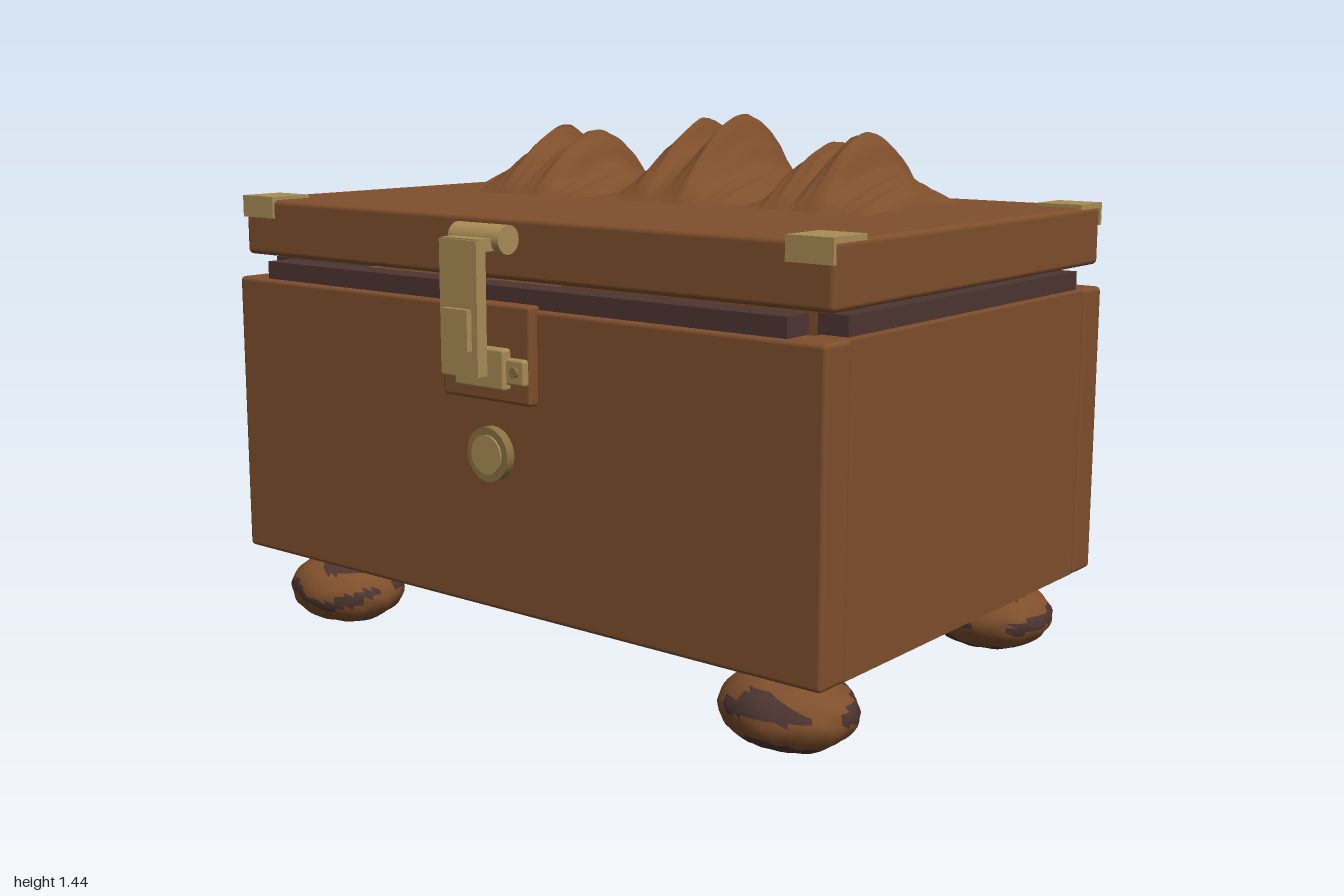
import * as THREE from 'three';
import { RoundedBoxGeometry } from 'three/addons/geometries/RoundedBoxGeometry.js';

const material = (name, color) => {
  const m = new THREE.MeshStandardMaterial({ color });
  m.name = name;
  return m;
};

// Piecewise linear lookup through [position, value] points
function sample(points, t) {
  for (let i = 1; i < points.length; i++) {
    const [a, va] = points[i - 1], [b, vb] = points[i];
    if (t <= b) return va + (vb - va) * (t - a) / (b - a);
  }
  return points[points.length - 1][1];
}

// Side arch shared by the carved mounds, from front (0) to back (1)
const ARCH = [[0, 0], [0.07, 0.21], [0.18, 0.45], [0.3, 0.7], [0.37, 0.81], [0.44, 0.9], [0.52, 0.98],
  [0.585, 1], [0.65, 0.98], [0.73, 0.9], [0.8, 0.79], [0.86, 0.66], [0.94, 0.37], [1, 0]];

// Carved mound: a ridge profile across x swept along the arch in z
function moundGeometry(x0, x1, zBack, zFront, y, profile) {
  const geo = new THREE.PlaneGeometry(1, 1, 48, 36);
  const pos = geo.attributes.position;
  for (let i = 0; i < pos.count; i++) {
    const u = pos.getX(i) + 0.5, t = pos.getY(i) + 0.5;
    const edge = Math.min(1, u * 12, (1 - u) * 12);
    const bend = 0.025 * Math.sin(t * 5 + u * 9) * edge * Math.sin(Math.PI * t);
    const groove = 0.006 * Math.sin(u * 70 + 2 * Math.sin(t * 4)) * edge;
    const h = (sample(profile, u + bend) + groove) * sample(ARCH, t);
    pos.setXYZ(i, x0 + u * (x1 - x0), y + Math.max(0, h), zFront + t * (zBack - zFront));
  }
  geo.computeVertexNormals();
  return geo;
}

// Lumpy flattened ball with patches of two colours
function footGeometry(seed) {
  const geo = new THREE.SphereGeometry(1, 36, 24);
  const pos = geo.attributes.position;
  const v = new THREE.Vector3();
  const patch = (p) => Math.sin(p.x * 3.1 + seed) * Math.cos(p.z * 2.7 - seed) +
    Math.sin(p.y * 6 + 1.6 * Math.sin(p.x * 2.5 + seed) + p.z) +
    0.35 * Math.sin(p.x * 9 + p.y * 7 + seed) * Math.cos(p.z * 8);
  const index = Array.from(geo.index.array);
  const light = [], dark = [];
  for (let i = 0; i < index.length; i += 3) {
    const c = new THREE.Vector3();
    for (let k = 0; k < 3; k++) c.add(v.fromBufferAttribute(pos, index[i + k]));
    (patch(c.divideScalar(3)) > 0.5 ? dark : light).push(index[i], index[i + 1], index[i + 2]);
  }
  for (let i = 0; i < pos.count; i++) {
    v.fromBufferAttribute(pos, i);
    const bump = 0.96 + 0.025 * Math.sin(v.x * 6 + seed) * Math.cos(v.z * 5 + seed) +
      0.02 * Math.sin(v.x * 11 - v.y * 9 + seed) * Math.cos(v.z * 12);
    v.multiplyScalar(bump);
    pos.setXYZ(i, v.x * 0.182, v.y * 0.1, v.z * 0.152);
  }
  geo.setIndex([...light, ...dark]);
  geo.clearGroups();
  geo.addGroup(0, light.length, 0);
  geo.addGroup(light.length, dark.length, 1);
  geo.computeVertexNormals();
  return geo;
}

export function createModel() {
  const model = new THREE.Group();
  model.name = 'chest';
  const wood = material('brown wood', 0x7f4f2c);
  const dark = material('dark wood', 0x4d3531);
  const brass = material('brass', 0xa98d56);
  const agedBrass = material('aged brass', 0x8a7142);

  const add = (name, geo, mat, x = 0, y = 0, z = 0) => {
    const mesh = new THREE.Mesh(geo, mat);
    mesh.name = name;
    mesh.position.set(x, y, z);
    model.add(mesh);
    return mesh;
  };
  // Box from its limits on each axis, with an optional rounded edge
  const box = (name, mat, [x0, x1], [y0, y1], [z0, z1], r = 0) => {
    const size = [x1 - x0, y1 - y0, z1 - z0];
    const geo = r ? new RoundedBoxGeometry(...size, 2, r) : new THREE.BoxGeometry(...size);
    return add(name, geo, mat, (x0 + x1) / 2, (y0 + y1) / 2, (z0 + z1) / 2);
  };
  // Cylinder lying along the x or z axis
  const rod = (name, mat, axis, r, length, x, y, z) => {
    const geo = new THREE.CylinderGeometry(r, r, length, 28);
    if (axis === 'x') geo.rotateZ(Math.PI / 2);
    else geo.rotateX(Math.PI / 2);
    return add(name, geo, mat, x, y, z);
  };

  // Body panels and base
  box('frontPanel', wood, [-0.967, 0.995], [0.222, 0.995], [0.532, 0.634], 0.012);
  box('backPanel', wood, [-0.967, 0.995], [0.222, 0.995], [-0.675, -0.577], 0.012);
  box('rightPanel', wood, [-0.96, -0.86], [0.222, 0.99], [-0.58, 0.535]);
  box('leftPanel', wood, [0.888, 0.988], [0.222, 0.99], [-0.58, 0.535]);
  box('base', wood, [-0.885, 0.912], [0.188, 0.235], [-0.577, 0.532], 0.008);

  // Dark rim strips under the lid
  box('frontRim', dark, [-0.855, 0.885], [0.995, 1.043], [0.54, 0.622]);
  box('backRim', dark, [-0.855, 0.885], [0.995, 1.043], [-0.622, -0.582]);
  box('rightRim', dark, [-0.945, -0.865], [0.995, 1.043], [-0.565, 0.52]);
  box('leftRim', dark, [0.895, 0.975], [0.995, 1.043], [-0.565, 0.52]);

  // Lid
  box('lid', wood, [-0.965, 0.994], [1.056, 1.21], [-0.648, 0.606], 0.014);

  // Brass corner caps: top plate and a short flange
  for (const [x0, x1] of [[-0.966, -0.84], [0.87, 0.995]]) {
    box('frontCornerTop', brass, [x0, x1], [1.205, 1.219], [0.484, 0.613]);
    box('frontCornerFlange', brass, [x0, x1], [1.16, 1.219], [0.603, 0.613]);
    box('backCornerTop', brass, [x0, x1], [1.205, 1.219], [-0.655, -0.535]);
    box('backCornerFlange', brass, [x0, x1], [1.16, 1.219], [-0.655, -0.645]);
  }

  // Carved mounds on the lid
  const mounds = [
    [-0.71, -0.255, -0.455, 0.025, [[0, 0.02], [0.06, 0.06], [0.16, 0.08], [0.22, 0.125], [0.3, 0.165],
      [0.36, 0.192], [0.43, 0.157], [0.52, 0.138], [0.58, 0.15], [0.66, 0.178], [0.72, 0.147],
      [0.78, 0.08], [0.86, 0.05], [0.95, 0.038], [1, 0.01]]],
    [-0.213, 0.245, -0.543, -0.008, [[0, 0.01], [0.05, 0.048], [0.15, 0.09], [0.22, 0.16], [0.29, 0.213],
      [0.34, 0.222], [0.39, 0.175], [0.45, 0.157], [0.55, 0.197], [0.62, 0.238], [0.67, 0.197],
      [0.74, 0.115], [0.81, 0.076], [0.91, 0.06], [1, 0.01]]],
    [0.298, 0.686, -0.47, 0.012, [[0, 0.01], [0.05, 0.04], [0.15, 0.095], [0.2, 0.152], [0.29, 0.166],
      [0.39, 0.136], [0.47, 0.178], [0.6, 0.192], [0.66, 0.142], [0.72, 0.09], [0.85, 0.06],
      [0.94, 0.043], [1, 0.01]]],
  ];
  for (const [x0, x1, zBack, zFront, profile] of mounds)
    add('carvedMound', moundGeometry(x0, x1, zBack, zFront, 1.208, profile), wood);

  // Latch: backing plate, catch with ears, hanging strap and pivot
  box('latchBacking', wood, [-0.135, 0.164], [0.762, 1.007], [0.62, 0.661], 0.01);
  box('latchCatch', brass, [-0.07, 0.1], [0.797, 0.9], [0.65, 0.686], 0.008);
  box('latchEars', brass, [-0.125, 0.158], [0.812, 0.878], [0.65, 0.676], 0.008);
  for (const x of [-0.098, 0.128]) rod('latchRivet', agedBrass, 'z', 0.013, 0.012, x, 0.846, 0.677);
  box('latchStrap', brass, [-0.05, 0.075], [0.837, 1.165], [0.715, 0.747]);
  box('latchArm', brass, [-0.05, 0.075], [1.137, 1.168], [0.66, 0.74]);
  box('latchTab', brass, [-0.03, 0.056], [0.9, 1.0], [0.745, 0.763]);
  rod('latchPivot', brass, 'x', 0.036, 0.17, 0.014, 1.163, 0.661);

  // Round front boss
  rod('bossRing', agedBrass, 'z', 0.069, 0.034, 0.014, 0.626, 0.642);
  rod('bossFace', brass, 'z', 0.05, 0.008, 0.014, 0.626, 0.66);

  // Pull ring on the right side
  rod('ringMount', brass, 'x', 0.045, 0.024, -0.972, 0.718, -0.032);
  const ring = add('pullRing', new THREE.TorusGeometry(0.064, 0.009, 10, 32), agedBrass, -0.99, 0.65, -0.032);
  ring.rotation.y = Math.PI / 2;

  // Hinges
  for (const x of [-0.58, 0.612]) {
    box('hingeBlock', brass, [x - 0.075, x + 0.075], [1.045, 1.14], [-0.728, -0.64]);
    rod('hingeBarrel', brass, 'x', 0.037, 0.22, x, 1.046, -0.718);
    box('hingeLeaf', brass, [x - 0.075, x + 0.075], [0.813, 1.02], [-0.703, -0.67]);
  }

  // Feet
  let seed = 0.7;
  for (const x of [-0.758, 0.786])
    for (const z of [0.457, -0.502]) {
      add('foot', footGeometry(seed), [wood, dark], x, 0.098, z);
      seed += 1.9;
    }

  return model;
}
